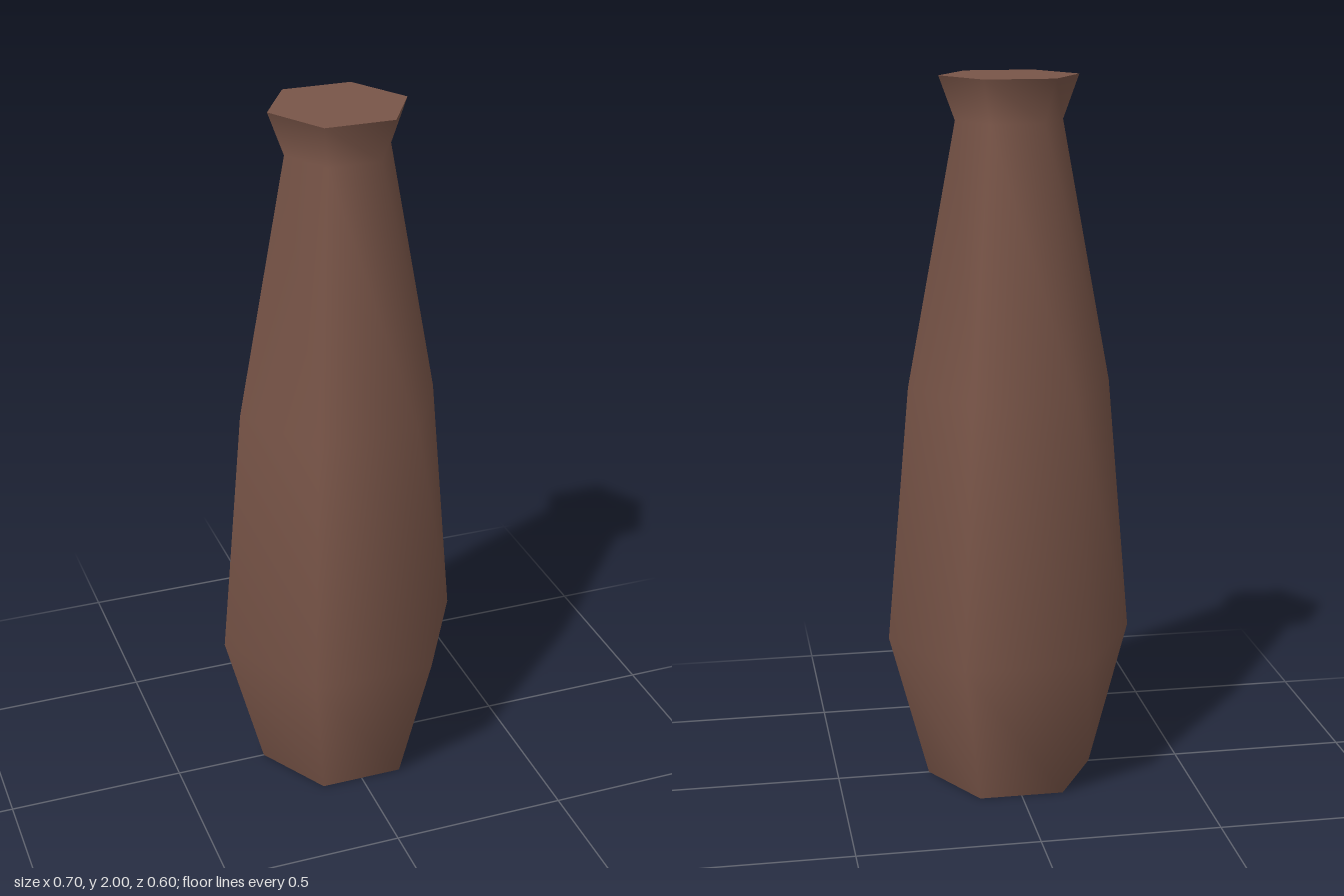
import * as THREE from 'three';

const SIDES = 6;

export function createModel() {
  const group = new THREE.Group();
  const brown = new THREE.MeshStandardMaterial({ color: 0x795548 });
  brown.name = 'brown';

  // Profile from the foot to the flared rim: [radius, height]
  const profile = [[0.237, 0], [0.348, 0.42], [0.284, 1.15], [0.148, 1.88], [0.192, 2]]
    .map(([r, y]) => new THREE.Vector2(r, y));

  // Six-sided bottle wall with softly shaded corners, one corner on +x
  const body = new THREE.Mesh(new THREE.LatheGeometry(profile, SIDES, Math.PI / 2), brown);
  body.name = 'bottleBody';
  group.add(body);

  // Flat ends
  const addCap = (name, radius, y, tilt) => {
    const cap = new THREE.Mesh(new THREE.CircleGeometry(radius, SIDES), brown);
    cap.name = name;
    cap.position.y = y;
    cap.rotation.x = tilt;
    group.add(cap);
  };
  addCap('topCap', 0.192, 2, -Math.PI / 2);
  addCap('base', 0.237, 0, Math.PI / 2);

  return group;
}
